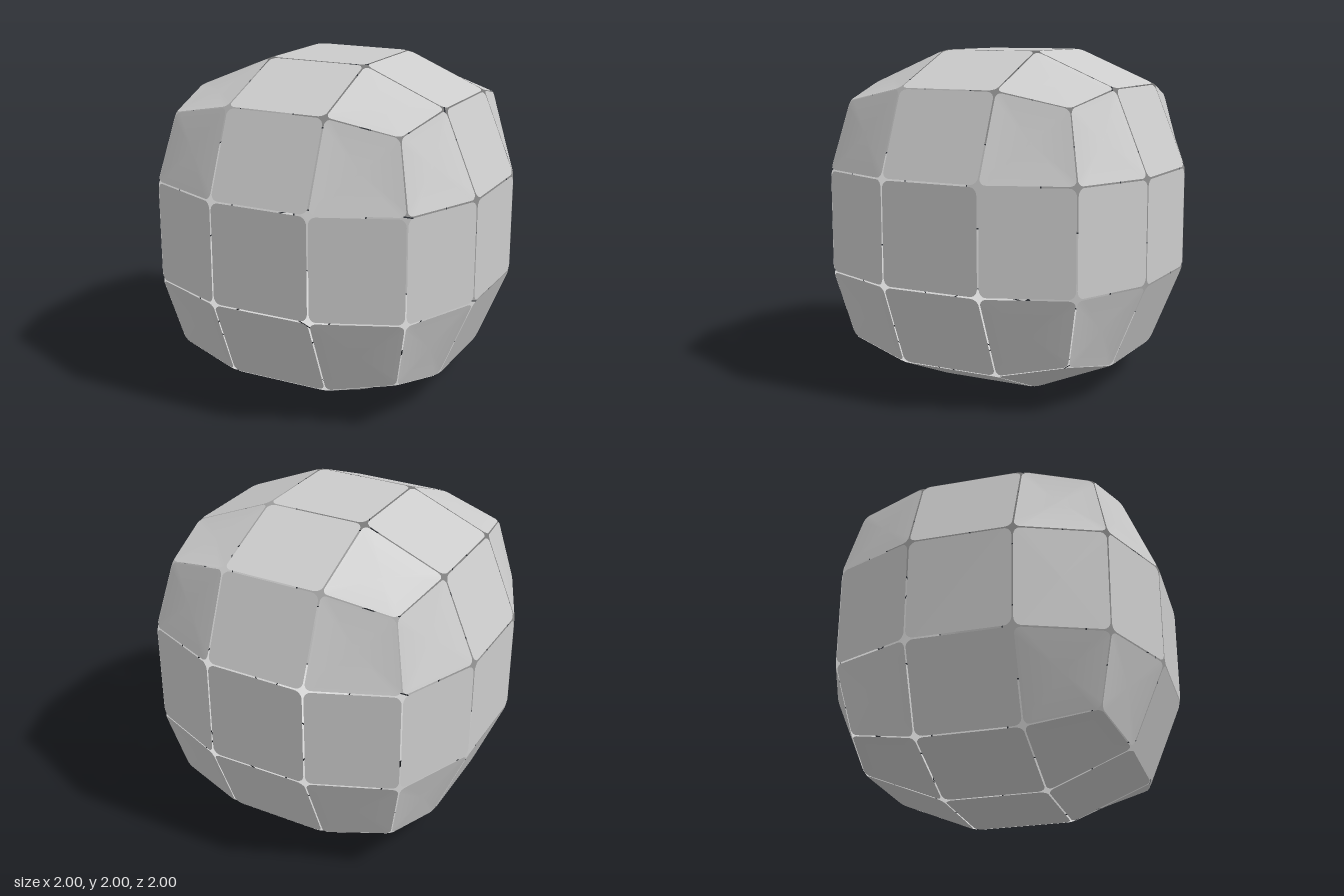
import * as THREE from 'three';

const INNER = 0.305;  // seam around the middle tile of a face
const EDGE = 0.796;   // seam between two faces
const CORNER = 0.71;  // where three faces meet
const INSET = 0.009;  // half of the gap, as a fraction of a tile
const RADIUS = 0.075; // corner rounding, as a fraction of a tile

// Seam crossing of the 4 x 4 grid on one bulged face looking along +z
function node(i, j) {
  const sx = i < 2 ? -1 : 1, sy = j < 2 ? -1 : 1;
  const outX = i % 3 === 0, outY = j % 3 === 0;
  if (outX && outY) return new THREE.Vector3(sx * CORNER, sy * CORNER, CORNER);
  return new THREE.Vector3(
    sx * (outX ? EDGE : INNER),
    sy * (outY ? EDGE : INNER),
    outX || outY ? EDGE : 1
  );
}

// Outline of a rounded unit square, counter-clockwise
function roundedOutline(steps = 6) {
  const lo = INSET + RADIUS, hi = 1 - lo;
  const centres = [[hi, hi], [lo, hi], [lo, lo], [hi, lo]];
  const points = [];
  centres.forEach(([u, v], k) => {
    for (let s = 0; s <= steps; s++) {
      const a = (k + s / steps) * Math.PI / 2;
      points.push([u + RADIUS * Math.cos(a), v + RADIUS * Math.sin(a)]);
    }
  });
  return points;
}

// Rounded sheet stretched between four seam crossings
function tileGeometry(i, j) {
  const a = node(i, j), b = node(i + 1, j), c = node(i, j + 1), d = node(i + 1, j + 1);
  const outline = roundedOutline();
  const points = [[0.5, 0.5], ...outline].map(([u, v]) =>
    a.clone().lerp(b, u).lerp(c.clone().lerp(d, u), v));
  const index = [];
  const n = outline.length;
  for (let k = 0; k < n; k++) index.push(0, 1 + k, 1 + (k + 1) % n);
  const geometry = new THREE.BufferGeometry().setFromPoints(points);
  geometry.setIndex(index);
  geometry.computeVertexNormals();
  return geometry;
}

export function createModel() {
  const model = new THREE.Group();
  model.name = 'roundedPuzzleCube';
  const material = new THREE.MeshStandardMaterial({ color: 0xcccccc, side: THREE.DoubleSide });

  // Nine tiles of one face, shared by all six
  const tiles = [];
  for (let j = 0; j < 3; j++) {
    for (let i = 0; i < 3; i++) {
      const offCentre = (i !== 1) + (j !== 1);
      tiles.push({
        name: ['centerTile', 'edgeTile', 'cornerTile'][offCentre],
        geometry: tileGeometry(i, j),
      });
    }
  }

  // Six faces turned around the middle
  const q = Math.PI / 2;
  const faces = {
    frontFace: [0, 0], leftFace: [0, q], backFace: [0, 2 * q],
    rightFace: [0, -q], topFace: [-q, 0], bottomFace: [q, 0],
  };
  for (const [name, [rx, ry]] of Object.entries(faces)) {
    const face = new THREE.Group();
    face.name = name;
    for (const tile of tiles) {
      const mesh = new THREE.Mesh(tile.geometry, material);
      mesh.name = tile.name;
      face.add(mesh);
    }
    face.rotation.set(rx, ry, 0);
    face.position.y = 1;
    model.add(face);
  }
  return model;
}
